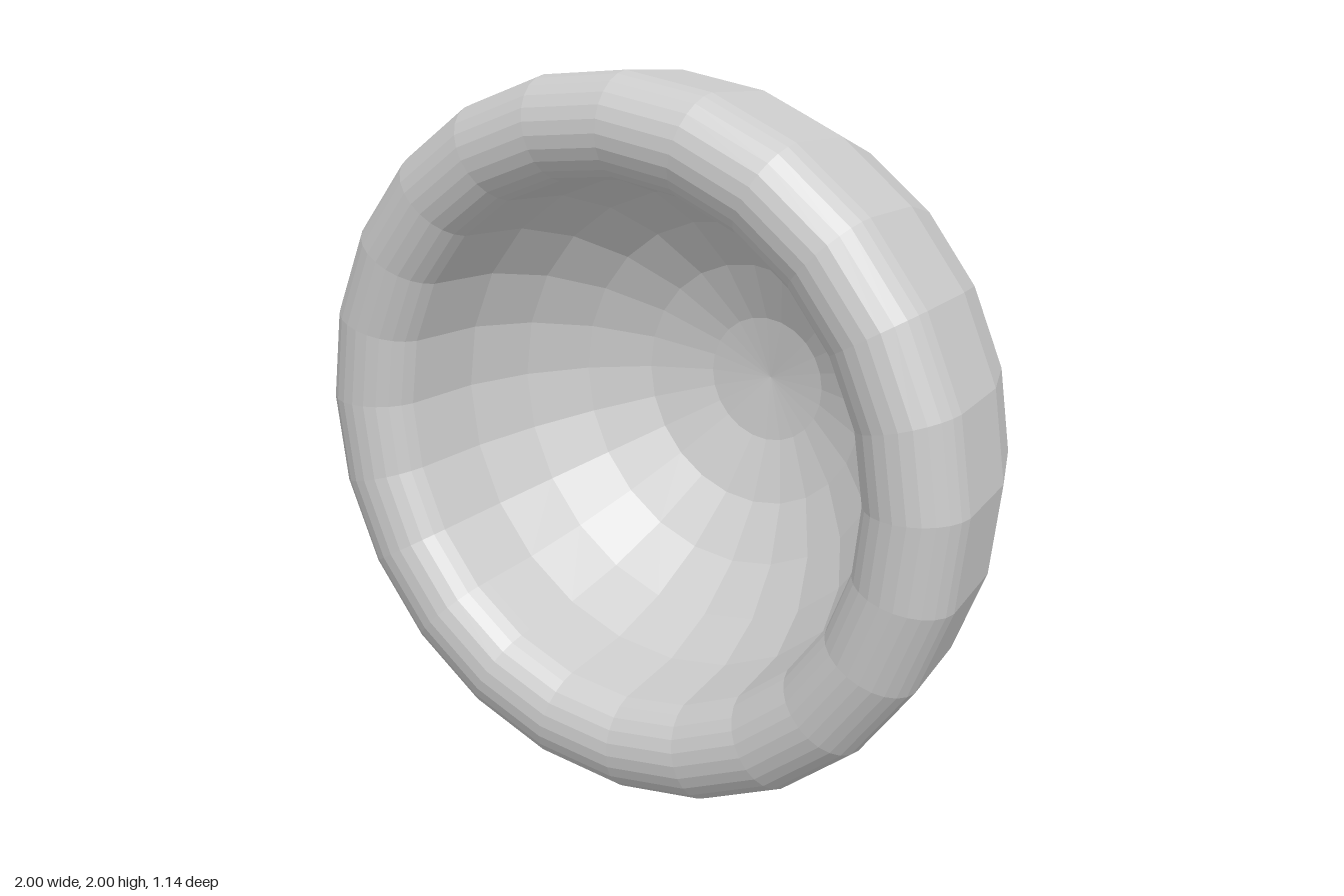
import * as THREE from 'three';

const SIDES = 24;     // facets around the axis
const STEPS = 6;      // rings from pole to rim (15 degrees each)
const OUTER = 1;
const INNER = 0.72;
const RIM_Z = 0.43;   // plane of the rim centre

// Points along an arc; angle 0 points outwards, positive towards the front
function arc(cx, cy, radius, from, to, steps) {
  return Array.from({ length: steps + 1 }, (_, i) => {
    const a = from + ((to - from) * i) / steps;
    return new THREE.Vector2(Math.max(0, cx + radius * Math.cos(a)), cy + radius * Math.sin(a));
  });
}

export function createModel() {
  const group = new THREE.Group();
  group.name = 'bowl';
  const material = new THREE.MeshStandardMaterial({ color: 0xcccccc, flatShading: true });

  // Revolve a profile about the z axis, at the height of the bowl's centre
  const addPart = (name, profile) => {
    const geometry = new THREE.LatheGeometry(profile, SIDES).rotateX(Math.PI / 2);
    const mesh = new THREE.Mesh(geometry, material);
    mesh.name = name;
    mesh.position.y = OUTER;
    group.add(mesh);
  };

  const quarter = Math.PI / 2;
  // Hemispherical outside, half-round rim, hemispherical hollow
  addPart('outerShell', arc(0, RIM_Z, OUTER, -quarter, 0, STEPS));
  addPart('rim', arc((OUTER + INNER) / 2, RIM_Z, (OUTER - INNER) / 2, 0, Math.PI, 2 * STEPS));
  addPart('innerShell', arc(0, RIM_Z, INNER, 0, -quarter, STEPS));
  return group;
}
